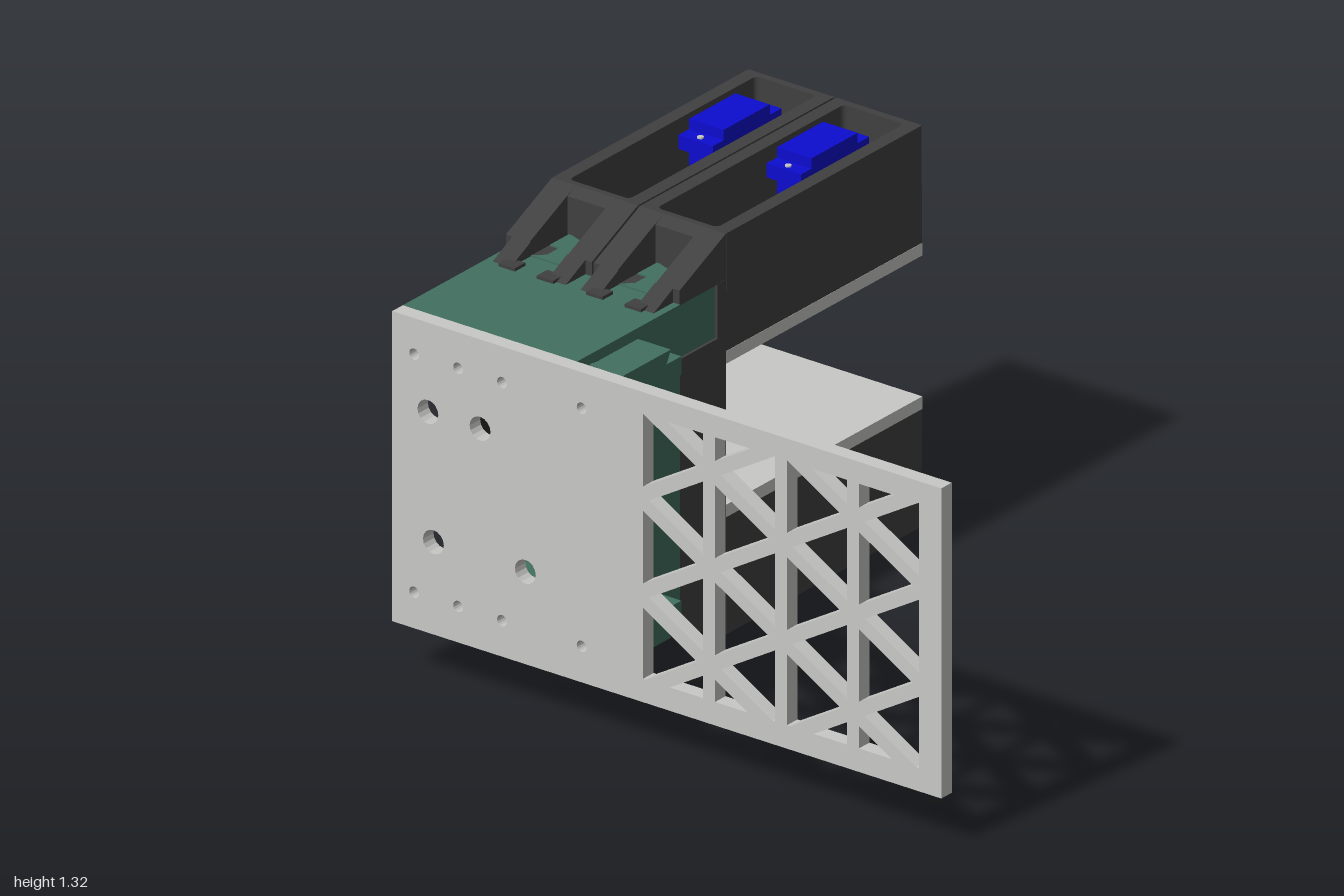
import * as THREE from 'three';

const mat = (name, color, side = THREE.FrontSide) => {
  const m = new THREE.MeshStandardMaterial({ color, side });
  m.name = name;
  return m;
};

export function createModel() {
  const green = mat('green plastic', 0x42705f);
  const dark = mat('charcoal plastic', 0x404040);
  const light = mat('light grey', 0xc9c9c7);
  const black = mat('black', 0x141414);
  const blue = mat('servo blue', 0x0c0cd0);
  const root = new THREE.Group();
  root.name = 'gripper';

  const add = (parent, name, geo, m) => {
    const mesh = new THREE.Mesh(geo, m);
    mesh.name = name;
    parent.add(mesh);
    return mesh;
  };
  // Box given by its limits on each axis
  const box = (p, name, m, x0, x1, y0, y1, z0, z1) => {
    const g = new THREE.BoxGeometry(x1 - x0, y1 - y0, z1 - z0);
    g.translate((x0 + x1) / 2, (y0 + y1) / 2, (z0 + z1) / 2);
    return add(p, name, g, m);
  };
  const poly = pts => new THREE.Shape(pts.map(p => new THREE.Vector2(p[0], p[1])));
  const extrude = (shape, depth) =>
    new THREE.ExtrudeGeometry(shape, { depth, bevelEnabled: false, curveSegments: 8 });
  // Front-view outline swept from z0 to z1
  const sweep = (p, name, m, pts, z0, z1) =>
    add(p, name, extrude(poly(pts), z1 - z0).translate(0, 0, z0), m);
  // Plan outline (x, z) swept from y0 to y1
  const slab = (p, name, m, shape, y0, y1) =>
    add(p, name, extrude(shape, y1 - y0).rotateX(-Math.PI / 2).translate(0, y0, 0), m);
  const roundRect = (C, x0, x1, y0, y1, r) => {
    const s = new C();
    s.moveTo(x0 + r, y0);
    s.lineTo(x1 - r, y0); s.quadraticCurveTo(x1, y0, x1, y0 + r);
    s.lineTo(x1, y1 - r); s.quadraticCurveTo(x1, y1, x1 - r, y1);
    s.lineTo(x0 + r, y1); s.quadraticCurveTo(x0, y1, x0, y1 - r);
    s.lineTo(x0, y0 + r); s.quadraticCurveTo(x0, y0, x0 + r, y0);
    return s;
  };
  const flipY = pts => pts.map(([x, y]) => [x, 1.32 - y]);

  // Mounting plate with a triangular lattice and bolt holes
  const plate = poly([[-1, 0.165], [1, 0.165], [1, 1.155], [-1, 1.155]]);
  const clip = (pts, limit, sign) => {
    const out = [];
    pts.forEach((a, i) => {
      const b = pts[(i + 1) % pts.length];
      const da = sign * (limit - a[1]), db = sign * (limit - b[1]);
      if (da >= 0) out.push(a);
      if (da * db < 0) {
        const t = da / (da - db);
        out.push([a[0] + (b[0] - a[0]) * t, limit]);
      }
    });
    return out;
  };
  const col = 0.262, side = 0.31;
  for (let i = 0; i < 4; i++) {
    const uA = -0.94 + i * col, uB = uA + col;
    for (let k = -3; k <= 3; k++) {
      // even columns have outer nodes on the left, odd columns on the right
      const [uOut, uIn] = i % 2 ? [uB, uA] : [uA, uB];
      const y = 0.66 + k * side;
      for (const tri of [
        [[uOut, y - side / 2], [uOut, y + side / 2], [uIn, y]],
        [[uIn, y], [uIn, y + side], [uOut, y + side / 2]],
      ]) {
        const cu = (tri[0][0] + tri[1][0] + tri[2][0]) / 3;
        const cy = (tri[0][1] + tri[1][1] + tri[2][1]) / 3;
        let h = tri.map(([a, b]) => [cu + (a - cu) * 0.75, cy + (b - cy) * 0.75]);
        h = clip(clip(h, 1.085, 1), 0.24, -1);
        if (h.length > 2) plate.holes.push(new THREE.Path(h.map(q => new THREE.Vector2(q[0], q[1]))));
      }
    }
  }
  const bolt = (z, y, r) => plate.holes.push(new THREE.Path().absarc(-z, y, r, 0, Math.PI * 2, true));
  for (const z of [-0.92, -0.76, -0.6, -0.31]) for (const y of [0.28, 1.04]) bolt(z, y, 0.018);
  for (const [z, y] of [[-0.87, 0.87], [-0.68, 0.87], [-0.85, 0.46], [-0.515, 0.46]]) bolt(z, y, 0.038);
  add(root, 'mountingPlate', extrude(plate, 0.05).rotateY(Math.PI / 2).translate(-0.85, 0, 0), light);

  // Green housing: post, end slabs and dovetailed sliding brackets
  const housing = new THREE.Group();
  housing.name = 'housing';
  root.add(housing);
  box(housing, 'housingPost', green, -0.52, -0.31, 0.165, 1.155, -1, -0.365);
  const slabPts = [[-0.8, 1.155], [-0.52, 1.155], [-0.52, 1.09], [-0.53, 1.09], [-0.5, 1.125],
    [-0.74, 1.125], [-0.72, 1.09], [-0.8, 1.09]];
  const bracketPts = [[-0.8, 0.97], [-0.7, 0.97], [-0.64, 1.02], [-0.46, 1.02], [-0.46, 1.08],
    [-0.53, 1.08], [-0.51, 1.12], [-0.74, 1.12], [-0.72, 1.08], [-0.8, 1.08]];
  for (const f of [p => p, flipY]) {
    sweep(housing, 'endSlab', green, f(slabPts), -1, -0.365);
    sweep(housing, 'slidingBracket', green, f(bracketPts), -0.99, -0.245);
  }
  sweep(housing, 'bearingBlock', green, [[-0.52, 0.97], [-0.63, 0.97], [-0.63, 0.79], [-0.58, 0.78],
    [-0.55, 0.755], [-0.54, 0.71], [-0.52, 0.71]], -0.9, -0.46);
  box(housing, 'motorMount', green, -0.54, -0.515, 0.42, 0.62, -0.94, -0.42);

  // Motor and drive gear
  sweep(root, 'motor', black, [[-0.52, 0.5], [-0.71, 0.5], [-0.71, 0.685], [-0.685, 0.715], [-0.52, 0.715]], -0.9, -0.46);
  const gearShape = (r, n) => {
    const pts = [];
    for (let i = 0; i < n * 4; i++) {
      const a = (i / (n * 4)) * Math.PI * 2, q = i % 4 < 2 ? r : r * 0.86;
      pts.push([Math.cos(a) * q, Math.sin(a) * q]);
    }
    return poly(pts);
  };
  const gear = extrude(gearShape(0.078, 16), 0.07).rotateY(Math.PI / 2);
  add(root, 'driveGear', gear, black).position.set(-0.79, 0.87, -0.68);
  for (const [x, r, l] of [[-0.705, 0.05, 0.05], [-0.655, 0.06, 0.06]])
    add(root, 'gearHub', new THREE.CylinderGeometry(r, r, l, 24).rotateZ(Math.PI / 2), black)
      .position.set(x, 0.87, -0.68);

  // One jaw, measured from the centre of the gripper; the other is the same turned over
  const makeJaw = name => {
    const jaw = new THREE.Group();
    jaw.name = name;
    jaw.position.set(0, 0.66, -0.6825);
    box(jaw, 'column', dark, -0.31, -0.09, 0, 0.32, -0.3175, 0.3175);
    box(jaw, 'columnHead', dark, -0.13, -0.09, 0.32, 0.495, -0.3175, 0.3175);
    box(jaw, 'columnCheek', dark, -0.31, -0.13, 0.32, 0.495, -0.3175, -0.28);
    box(jaw, 'tongueBlock', green, -0.31, -0.13, 0.32, 0.492, -0.28, 0.308);
    for (const z of [-0.16, 0, 0.16])
      box(jaw, 'columnGroove', black, -0.092, -0.088, 0, 0.22, z - 0.004, z + 0.004);
    box(jaw, 'gripPad', light, -0.09, 0.845, 0.225, 0.265, -0.3175, 0.3175);

    for (const zc of [-0.16, 0.16]) {
      const unit = new THREE.Group();
      unit.name = 'armUnit';
      unit.position.z = zc;
      jaw.add(unit);
      // Hollow arm with a rim and a floor
      const rim = roundRect(THREE.Shape, -0.09, 0.845, -0.1565, 0.1565, 0.006);
      rim.holes.push(roundRect(THREE.Path, -0.07, 0.82, -0.11, 0.11, 0.02));
      slab(unit, 'armWalls', dark, rim, 0.45, 0.64);
      box(unit, 'armBase', dark, -0.09, 0.845, 0.265, 0.45, -0.1565, 0.1565);
      // Sloped shoulder walls with hooked fingers around the green dovetail
      for (const s of [-1, 1]) {
        const [a, b] = s < 0 ? [-0.1565, -0.07] : [0.07, 0.1565];
        sweep(unit, 'shoulderWall', dark, [[-0.31, 0.492], [-0.09, 0.492], [-0.09, 0.64], [-0.31, 0.54]], a, b);
        const m = s * 0.1;
        sweep(unit, 'shoulderFinger', dark, [[-0.41, 0.492], [-0.31, 0.492], [-0.31, 0.54]], m - 0.033, m + 0.033);
        box(unit, 'fingerHook', dark, -0.42, -0.37, 0.493, 0.505, Math.min(m, m - s * 0.06), Math.max(m, m - s * 0.06));
      }
      sweep(unit, 'shoulderBack', dark, [[-0.13, 0.49], [-0.09, 0.49], [-0.09, 0.64], [-0.13, 0.62]], -0.075, 0.075);
      box(unit, 'shoulderFloor', dark, -0.31, -0.13, 0.49, 0.495, -0.075, 0.075);
      slab(unit, 'dovetail', green, poly([[-0.31, -0.065], [-0.28, -0.03], [-0.22, -0.03], [-0.22, -0.065],
        [-0.125, -0.065], [-0.15, 0], [-0.125, 0.065], [-0.22, 0.065], [-0.22, 0.03], [-0.28, 0.03], [-0.31, 0.065]]),
        0.494, 0.5);
      // Hooked pad keys showing at the arm tip
      for (const s of [-1, 1]) {
        const key = poly([[0.06, 0.262], [0.145, 0.262], [0.145, 0.375], [0.075, 0.375], [0.075, 0.36],
          [0.105, 0.36], [0.105, 0.3], [0.06, 0.285]].map(([u, v]) => [u * s, v]));
        add(unit, 'padKey', extrude(key, 0.004).rotateY(Math.PI / 2).translate(0.844, 0, 0), light);
        const c = s * 0.085;
        box(unit, 'keyLatch', green, 0.842, 0.847, 0.325, 0.35, c - 0.016, c + 0.016);
      }
      // Servo with mounting ears, screws and horn gear
      box(unit, 'servoBody', blue, 0.44, 0.66, 0.45, 0.658, -0.063, 0.063);
      box(unit, 'servoEars', blue, 0.39, 0.715, 0.58, 0.625, -0.063, 0.063);
      for (const x of [0.412, 0.692])
        add(unit, 'servoScrew', new THREE.CylinderGeometry(0.01, 0.01, 0.006, 12), light).position.set(x, 0.627, 0);
      slab(unit, 'hornGear', light, gearShape(0.095, 20), 0.5, 0.52).position.x = 0.6;
      add(unit, 'hornGearFace', new THREE.CylinderGeometry(0.078, 0.078, 0.008, 24), black).position.set(0.6, 0.522, 0);
    }
    root.add(jaw);
    return jaw;
  };
  makeJaw('upperJaw');
  makeJaw('lowerJaw').rotation.x = Math.PI;
  return root;
}
